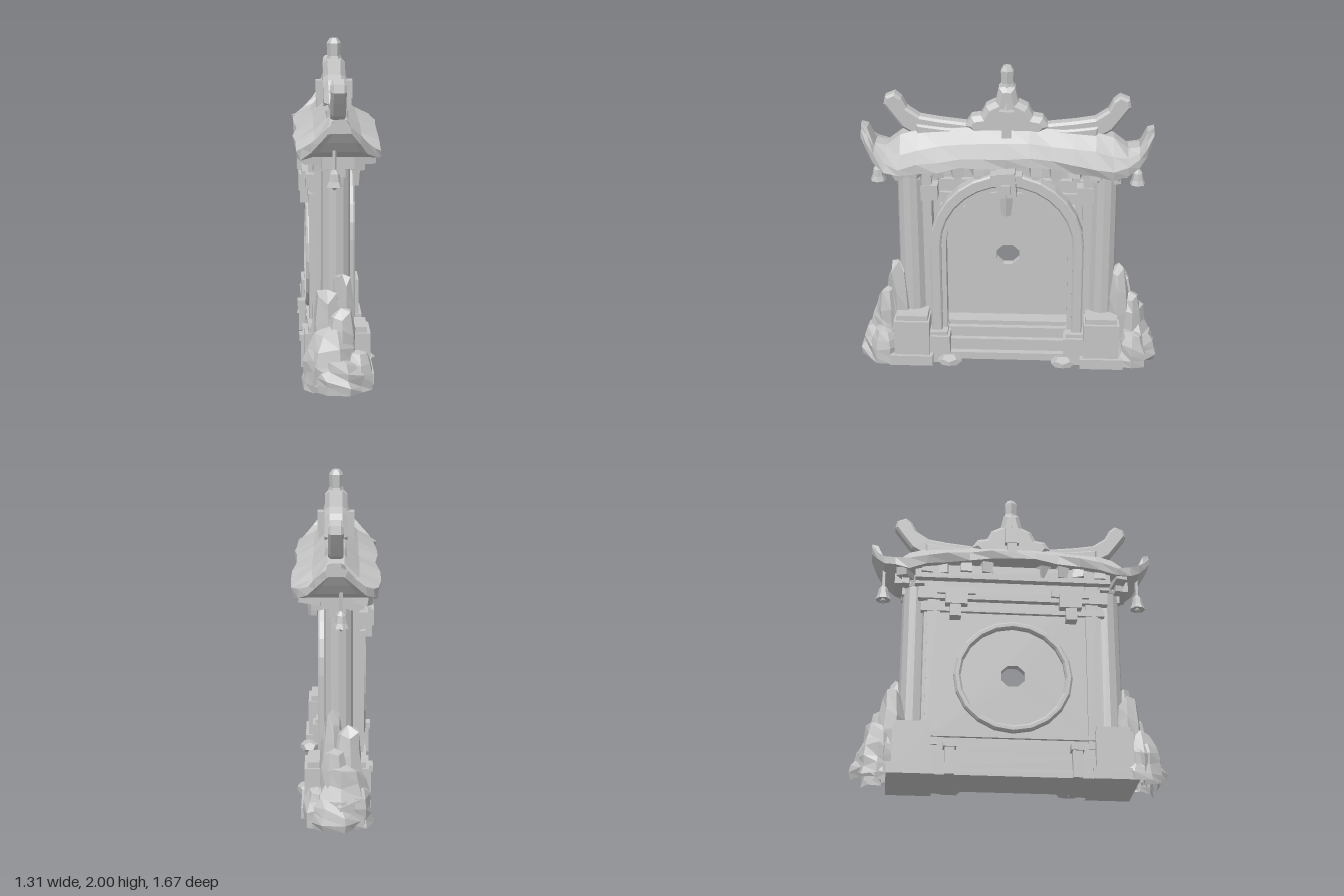
import * as THREE from 'three';

const stone = new THREE.MeshStandardMaterial({ color: 0xc4c4c4, flatShading: true });
stone.name = 'grey stone';

let seed = 7;
const rnd = () => { seed = (seed * 16807) % 2147483647; return seed / 2147483647 - 0.5; };

export function createModel() {
  const model = new THREE.Group();
  model.name = 'shrineGate';
  const gate = new THREE.Group();
  gate.name = 'gate';
  gate.rotation.y = THREE.MathUtils.degToRad(55); // the gate stands diagonally
  gate.position.set(-0.012, 0, 0.014);
  model.add(gate);

  const add = (name, geo, x = 0, y = 0, z = 0) => {
    const m = new THREE.Mesh(geo, stone);
    m.name = name;
    m.position.set(x, y, z);
    gate.add(m);
    return m;
  };
  // box given by its limits
  const block = (name, x0, x1, y0, y1, z0, z1) =>
    add(name, new THREE.BoxGeometry(x1 - x0, y1 - y0, z1 - z0), (x0 + x1) / 2, (y0 + y1) / 2, (z0 + z1) / 2);
  // outline in x and y, given a thickness from z0 to z1
  const slab = (name, shape, z0, z1, bevel = 0) =>
    add(name, new THREE.ExtrudeGeometry(shape, {
      depth: z1 - z0 - 2 * bevel, bevelEnabled: bevel > 0, bevelSize: bevel, bevelThickness: bevel,
      bevelOffset: -bevel, bevelSegments: 1, curveSegments: 10,
    }), 0, 0, z0 + bevel);
  // right half of an outline, mirrored to the left
  const mirrored = (pts) => new THREE.Shape([
    ...pts, ...pts.filter((p) => p[0] > 0).reverse().map(([x, y]) => [-x, y]),
  ].map(([x, y]) => new THREE.Vector2(x, y)));
  // rings of [y, z] points joined along x
  const loft = (rings, xs) => {
    const pos = [], idx = [], n = rings[0].length;
    rings.forEach((r, i) => r.forEach(([y, z]) => pos.push(xs[i], y, z)));
    for (let i = 0; i < rings.length - 1; i++) for (let j = 0; j < n; j++) {
      const a = i * n + j, d = i * n + (j + 1) % n, b = a + n, c = d + n;
      idx.push(a, d, c, a, c, b);
    }
    const last = (rings.length - 1) * n;
    for (let j = 1; j < n - 1; j++) idx.push(0, j + 1, j, last, last + j, last + j + 1);
    const g = new THREE.BufferGeometry();
    g.setAttribute('position', new THREE.Float32BufferAttribute(pos, 3));
    g.setIndex(idx);
    g.computeVertexNormals();
    return g;
  };

  // base, front steps and back plinth course
  block('baseSlab', -0.76, 0.76, 0, 0.05, -0.2, 0.11);
  [[0.13, 0.07], [0.2, 0.035], [0.23, 0]].forEach(([h, z]) => block('step', -0.5, 0.5, 0.04, h, -0.12, z));
  block('backCourse', -0.66, 0.66, 0.04, 0.15, -0.175, -0.1);
  block('backRail', -0.58, 0.58, 0.14, 0.27, -0.16, -0.1);
  block('backRailCap', -0.58, 0.58, 0.25, 0.28, -0.18, -0.1);

  // rear wall with a round opening and a raised ring
  const wall = new THREE.Shape([[-0.56, 0.2], [0.56, 0.2], [0.56, 1.42], [-0.56, 1.42]]
    .map((p) => new THREE.Vector2(...p)));
  const hole = new THREE.Path();
  for (let i = 0; i < 8; i++) {
    const a = (i + 0.5) * Math.PI / 4, x = 0.08 * Math.cos(a), y = 0.67 + 0.075 * Math.sin(a);
    if (i) hole.lineTo(x, y); else hole.moveTo(x, y);
  }
  hole.closePath();
  wall.holes.push(hole);
  slab('rearWall', wall, -0.15, -0.1);
  const ring = new THREE.Shape().absarc(0, 0.66, 0.37, 0, Math.PI * 2);
  ring.holes.push(new THREE.Path().absarc(0, 0.66, 0.325, 0, Math.PI * 2, true));
  slab('backRing', ring, -0.185, -0.14, 0.012);

  // beams on both faces of the wall
  block('frontBeam', -0.56, 0.56, 1.08, 1.12, -0.11, -0.07);
  block('frontBeam', -0.56, 0.56, 1.14, 1.22, -0.11, -0.05);
  block('topBeam', -0.62, 0.62, 1.29, 1.43, -0.15, 0.07);
  block('backBeam', -0.58, 0.58, 1.09, 1.13, -0.175, -0.14);
  block('backBeam', -0.6, 0.6, 1.17, 1.25, -0.19, -0.14);
  block('backBeam', -0.62, 0.62, 1.31, 1.4, -0.2, -0.14);

  // arch frame with an inner lip
  const archShape = (ro, ri, topO, topI) => {
    const side = (r, top) => {
      const pts = [new THREE.Vector2(r, 0.05)];
      for (let i = 0; i <= 14; i++) {
        const a = Math.PI * i / 14;
        pts.push(new THREE.Vector2(r * Math.cos(a), 0.82 + (top - 0.82) * Math.sin(a)));
      }
      return [...pts, new THREE.Vector2(-r, 0.05)];
    };
    return new THREE.Shape([...side(ro, topO), ...side(ri, topI).reverse()]);
  };
  slab('archFrame', archShape(0.49, 0.42, 1.32, 1.24), 0.01, 0.11, 0.01);
  slab('archLip', archShape(0.45, 0.39, 1.27, 1.2), -0.02, 0.07);

  // keystone carving
  block('keystone', -0.06, 0.06, 1.2, 1.36, 0.08, 0.19).rotation.z = 0.08;
  block('keystoneWings', -0.1, 0.1, 1.29, 1.34, 0.08, 0.17);
  add('keystoneDrop', new THREE.CylinderGeometry(0.055, 0.035, 0.16, 6), 0, 1.15, 0.14);
  block('keystoneBoss', -0.03, 0.03, 1.23, 1.29, 0.18, 0.21);

  for (const s of [-1, 1]) {
    const side = (name, x0, x1, ...r) => block(name, Math.min(s * x0, s * x1), Math.max(s * x0, s * x1), ...r);

    // pillars and pilasters
    add('pillar', new THREE.CylinderGeometry(0.085, 0.09, 1.36, 12), s * 0.61, 0.72, -0.015);
    add('pillarCollar', new THREE.CylinderGeometry(0.105, 0.09, 0.07, 12), s * 0.61, 1.33, -0.015);
    side('pilaster', 0.48, 0.56, 0.05, 1.36, -0.13, 0.03);
    side('backPilaster', 0.46, 0.54, 0.2, 1.3, -0.17, -0.1);
    side('sideBeam', 0.44, 0.58, 1.11, 1.21, -0.1, 0.04);

    // plinths
    side('pillarPlinth', 0.5, 0.73, 0.04, 0.31, -0.2, 0.19);
    side('plinthCap', 0.51, 0.715, 0.3, 0.345, -0.18, 0.17);
    side('plinthFoot', 0.48, 0.76, 0, 0.07, -0.21, 0.21);
    side('archFoot', 0.37, 0.51, 0, 0.19, 0, 0.16);
    side('archFootCap', 0.385, 0.5, 0.18, 0.215, 0, 0.14);
    add('frontStone', new THREE.DodecahedronGeometry(0.075), s * 0.37, 0.035, 0.18).scale.set(1.1, 0.5, 0.9);
    side('backPost', 0.355, 0.415, 0, 0.2, -0.22, -0.1);
    side('backPostCap', 0.345, 0.425, 0.17, 0.21, -0.23, -0.1);

    // brackets under the arch and carved drops on the back
    slab('archBracket', new THREE.Shape([[0.43, 1.05], [0.27, 1.05], [0.29, 0.98], [0.34, 0.97], [0.37, 0.92], [0.43, 0.91]]
      .map(([x, y]) => new THREE.Vector2(s * x, y))), -0.07, 0);
    side('backCarving', 0.29, 0.43, 1.12, 1.22, -0.23, -0.14);
    side('backCarvingDrop', 0.33, 0.4, 1.04, 1.14, -0.22, -0.14);
    side('backCarvingArm', 0.24, 0.48, 1.2, 1.25, -0.21, -0.14);

    // eave brackets in rows
    for (let i = 0; i < 5; i++) for (const f of [-1, 1]) {
      const x = s * (0.18 + i * 0.125), z = f * 0.14;
      add('eaveBracket', new THREE.BoxGeometry(0.07, 0.08, 0.14), x, 1.39 - 0.005 * i, z).rotation.set(rnd() * 0.4, rnd(), 0);
      add('bracketBlock', new THREE.BoxGeometry(0.045, 0.06, 0.07), x, 1.34 - 0.005 * i, z * 0.8).rotation.y = rnd();
    }
    side('endBracket', 0.62, 0.75, 1.31, 1.4, -0.1, 0.09);
    side('endBracket', 0.62, 0.7, 1.25, 1.32, -0.06, 0.04);

    // hanging bells
    const bell = [[0, 0.02], [0.05, 0], [0.038, 0.03], [0.03, 0.075], [0.012, 0.1], [0, 0.1]];
    add('bell', new THREE.LatheGeometry(bell.map((p) => new THREE.Vector2(...p)), 7), s * 0.82, 1.22, -0.03);
    add('bellLink', new THREE.CylinderGeometry(0.012, 0.012, 0.13, 5), s * 0.82, 1.37, -0.03);
    add('bellClapper', new THREE.OctahedronGeometry(0.02), s * 0.82, 1.215, -0.03);

    // boulders heaped on the ends: x, z, radius x, height, radius z
    [[0.79, -0.04, 0.14, 0.38, 0.17], [0.73, -0.07, 0.1, 0.6, 0.11], [0.71, 0.02, 0.08, 0.7, 0.08],
      [0.87, 0.0, 0.1, 0.2, 0.15], [0.81, 0.11, 0.1, 0.24, 0.09], [0.79, -0.14, 0.12, 0.26, 0.08],
      [0.79, 0.01, 0.09, 0.5, 0.1]].forEach(([x, z, rx, h, rz]) => {
      const profile = [[1, 0], [1, 0.2], [0.93, 0.45], [0.82, 0.68], [0.6, 0.9], [0, 1]];
      const g = new THREE.LatheGeometry(profile.map(([r, y]) => new THREE.Vector2(r, y)), 7, rnd() * 3);
      const p = g.attributes.position, jit = {};
      for (let i = 0; i < p.count; i++) {
        const k = `${p.getX(i).toFixed(3)},${p.getY(i).toFixed(3)},${p.getZ(i).toFixed(3)}`;
        jit[k] ??= [1 + rnd() * 0.3, p.getY(i) > 0 ? rnd() * 0.12 : 0];
        p.setXYZ(i, p.getX(i) * rx * jit[k][0], Math.max(0, (p.getY(i) + jit[k][1]) * h), p.getZ(i) * rz * jit[k][0]);
      }
      g.computeVertexNormals();
      add('boulder', g, s * x + 0.01, 0, z);
    });
  }

  // curved roof: distance from middle, eave half width, eave height, ridge height
  const half = [[0, 0.25, 1.43, 1.62], [0.14, 0.25, 1.43, 1.62], [0.28, 0.25, 1.42, 1.61], [0.42, 0.255, 1.4, 1.6],
    [0.55, 0.255, 1.375, 1.59], [0.66, 0.25, 1.355, 1.56], [0.75, 0.22, 1.37, 1.49], [0.82, 0.17, 1.41, 1.5],
    [0.865, 0.115, 1.47, 1.6], [0.905, 0.06, 1.53, 1.62]];
  const stations = [...half.slice(1).reverse().map(([x, ...r]) => [-x, ...r]), ...half];
  const rings = stations.map(([, h, e, r]) => {
    const t = e + 0.055 + rnd() * 0.02, m = t + (r - t) * 0.38, w = () => h + rnd() * 0.025;
    const c = Math.min(0.05, h * 0.5);
    return [[r, c], [m + rnd() * 0.02, h * 0.55], [t, w()], [e + rnd() * 0.02, w()], [e + 0.01, h * 0.7],
      [e + 0.01, -h * 0.7], [e + rnd() * 0.02, -w()], [t, -w()], [m + rnd() * 0.02, -h * 0.55], [r, -c]];
  });
  add('roof', loft(rings, stations.map((q) => q[0])));

  // ridge with upturned horns
  slab('ridge', mirrored([[0, 1.62], [0.25, 1.635], [0.42, 1.655], [0.54, 1.675], [0.62, 1.73], [0.65, 1.79], [0.69, 1.825],
    [0.75, 1.8], [0.76, 1.75], [0.71, 1.68], [0.65, 1.6], [0.55, 1.54], [0, 1.5]]), -0.045, 0.045, 0.015);
  slab('ridgeMoulding', mirrored([[0, 1.585], [0.4, 1.61], [0.56, 1.63], [0.56, 1.56], [0, 1.53]]), -0.065, 0.065, 0.012);

  // central finial
  slab('finialBase', mirrored([[0, 1.88], [0.05, 1.87], [0.07, 1.78], [0.13, 1.75], [0.16, 1.69], [0.22, 1.68],
    [0.26, 1.62], [0.2, 1.56], [0, 1.55]]), -0.07, 0.07, 0.03);
  add('finialNeck', new THREE.CylinderGeometry(0.045, 0.085, 0.16, 6), 0, 1.81, 0);
  add('finialCap', new THREE.CylinderGeometry(0.045, 0.04, 0.09, 6), 0, 1.925, 0);
  add('finialTip', new THREE.CylinderGeometry(0.025, 0.045, 0.03, 6), 0, 1.985, 0);
  for (const f of [-1, 1]) {
    block('finialShield', -0.045, 0.045, 1.63, 1.74, f * 0.085 - 0.03, f * 0.085 + 0.03);
    block('finialDrop', -0.03, 0.03, 1.56, 1.64, f * 0.085 - 0.025, f * 0.085 + 0.025);
  }
  return model;
}
